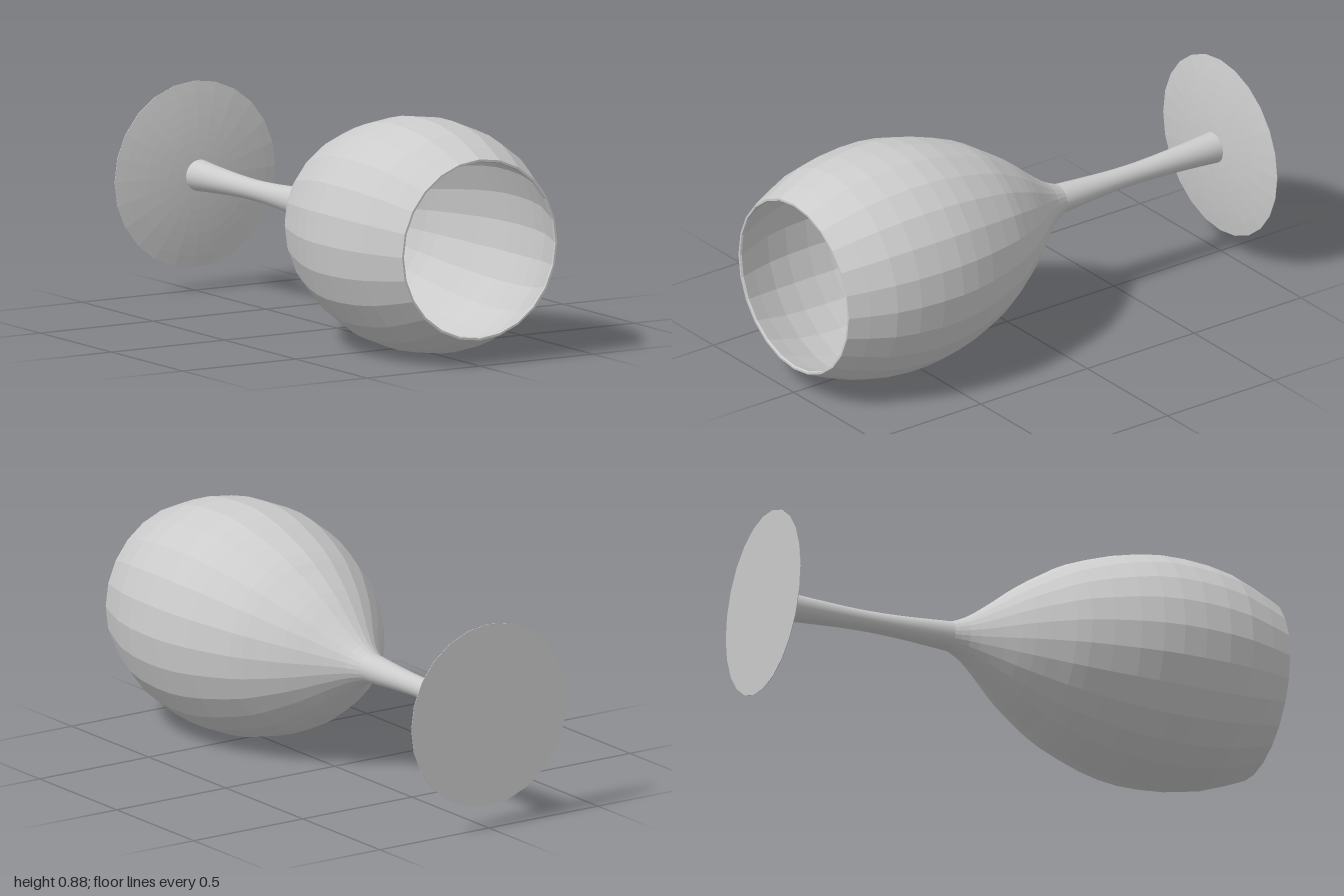
import * as THREE from 'three';

const SIDES = 24;
const V = (r, h) => new THREE.Vector2(r, h);

// Smooth profile through a few [radius, height] points
const profile = (pts, n) => new THREE.SplineCurve(pts.map(p => V(...p))).getPoints(n);

export function createModel() {
  const group = new THREE.Group();
  group.name = 'wineGlass';
  const smooth = new THREE.MeshStandardMaterial({ color: 0xcccccc });
  const flat = new THREE.MeshStandardMaterial({ color: 0xcccccc, flatShading: true });

  const glass = new THREE.Group();
  glass.name = 'glassBody';
  const turn = (name, points, material) => {
    const mesh = new THREE.Mesh(new THREE.LatheGeometry(points, SIDES), material);
    mesh.name = name;
    glass.add(mesh);
  };

  // Bowl: outer wall up, rounded rim, inner wall down to a small flat floor
  const outer = profile([
    [0.057, -0.24], [0.085, -0.18], [0.145, -0.1], [0.228, 0], [0.295, 0.1], [0.352, 0.2],
    [0.42, 0.4], [0.442, 0.58], [0.42, 0.8], [0.347, 0.993],
  ], 20);
  const inner = profile([
    [0.333, 0.993], [0.406, 0.8], [0.428, 0.58], [0.406, 0.4], [0.336, 0.2],
    [0.278, 0.1], [0.208, 0], [0.125, -0.1], [0.065, -0.17], [0.041, -0.2],
  ], 20);
  turn('bowl', [...outer, V(0.344, 1), V(0.336, 1), ...inner, V(0, -0.2)], flat);

  // Stem: slender waist, flaring at both ends
  turn('stem', profile([
    [0.06, -0.97], [0.049, -0.82], [0.04, -0.62], [0.043, -0.45], [0.057, -0.24],
  ], 14), smooth);

  // Foot: flat underside and shallow domed top
  const R = 0.355, foot = [V(0, -1)];
  for (let i = 0; i <= 8; i++) {
    const r = R * (1 - i / 8);
    foot.push(V(r, -0.998 + 0.033 * (1 - (r / R) ** 2)));
    if (i === 0) foot.splice(1, 0, V(R, -1));
  }
  turn('foot', foot, flat);

  // Laid on its side with the mouth facing forward
  glass.rotation.x = Math.PI / 2;
  glass.position.y = 0.445;
  group.add(glass);
  return group;
}
